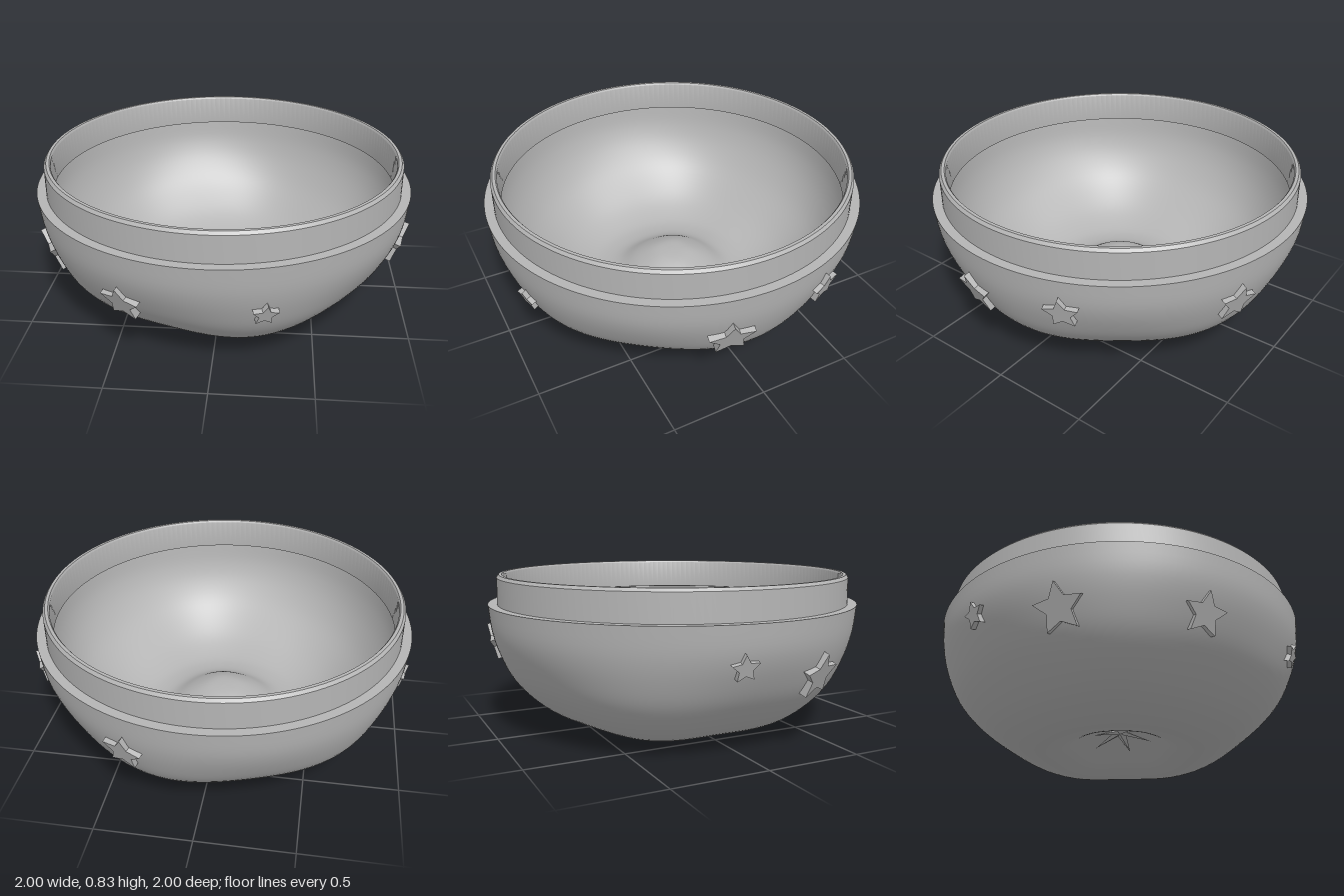
import * as THREE from 'three';
import { toCreasedNormals } from 'three/addons/utils/BufferGeometryUtils.js';

const DEG = Math.PI / 180;
const clayGrey = new THREE.MeshStandardMaterial({ color: 0xb4b4b4 });
clayGrey.name = 'clayGrey';

const toPoints = list => list.map(([r, y]) => new THREE.Vector2(r, y));
const smooth = (list, n) => new THREE.SplineCurve(toPoints(list)).getPoints(n);

// Profiles as [radius, height]
const outer = [[0, 0.15], [0.08, 0.14], [0.18, 0.09], [0.3, 0.025], [0.42, 0], [0.53, 0.015], [0.67, 0.075],
  [0.79, 0.165], [0.885, 0.275], [0.945, 0.4], [0.983, 0.53], [1, 0.675]];
const neck = [[0.952, 0.675], [0.95, 0.815], [0.938, 0.83], [0.922, 0.83], [0.915, 0.82], [0.915, 0.66]];
const inner = [[0.95, 0.655], [0.933, 0.53], [0.895, 0.41], [0.83, 0.295], [0.74, 0.2], [0.63, 0.12],
  [0.51, 0.07], [0.42, 0.06], [0.32, 0.08], [0.21, 0.15], [0.1, 0.2], [0, 0.21]];

// Five faint lobes that fade out towards the rim
function lobe(r, y, az) {
  const valley = 0.5 - 0.5 * Math.cos(5 * (az - 18 * DEG));
  const fade = valley * (1 - THREE.MathUtils.smoothstep(y, 0.1, 0.6));
  const lift = THREE.MathUtils.smoothstep(r, 0.1, 0.4);
  return [r * (1 - 0.045 * fade), y + 0.01 * fade * lift];
}

// Hollow bowl with stepped neck
function makeBowl() {
  const profile = [...smooth(outer, 48), ...toPoints(neck), ...smooth(inner, 48)];
  profile.forEach(p => { p.x = Math.max(p.x, 0); });
  const geo = new THREE.LatheGeometry(profile, 180);
  const pos = geo.attributes.position;
  for (let i = 0; i < pos.count; i++) {
    const x = pos.getX(i), z = pos.getZ(i), az = Math.atan2(x, z);
    const [r, y] = lobe(Math.hypot(x, z), pos.getY(i), az);
    pos.setXYZ(i, r * Math.sin(az), y, r * Math.cos(az));
  }
  return toCreasedNormals(geo, 35 * DEG);
}

// Outer wall radius at a height
function wallRadius(y) {
  const i = outer.findIndex((p, k) => k > 4 && p[1] >= y);
  const [r0, y0] = outer[i - 1], [r1, y1] = outer[i];
  return r0 + (r1 - r0) * (y - y0) / (y1 - y0);
}

function makeStar(radius) {
  const shape = new THREE.Shape();
  for (let k = 0; k < 10; k++) {
    const r = k % 2 ? radius * 0.5 : radius, a = k * 36 * DEG;
    shape[k ? 'lineTo' : 'moveTo'](-r * Math.sin(a), r * Math.cos(a));
  }
  shape.closePath();
  const geo = new THREE.ExtrudeGeometry(shape, { depth: 0.06, bevelEnabled: false });
  return geo.translate(0, 0, -0.035);
}

export function createModel() {
  const model = new THREE.Group();
  const add = (geo, name) => {
    const mesh = new THREE.Mesh(geo, clayGrey);
    mesh.name = name;
    model.add(mesh);
    return mesh;
  };

  add(makeBowl(), 'bowl');

  // Raised stars: azimuth, height, radius, roll
  const stars = [[15.5, 0.415, 0.065, -5], [79.5, 0.41, 0.12, 3], [111, 0.5, 0.09, 6], [160, 0.46, 0.105, -8],
    [263, 0.48, 0.07, 5], [292, 0.385, 0.125, 5], [333.5, 0.385, 0.11, -3]];
  for (const [deg, y, size, roll] of stars) {
    const az = deg * DEG;
    const [r] = lobe(wallRadius(y), y, az);
    const star = add(makeStar(size), 'star');
    star.position.set(r * Math.sin(az), y, r * Math.cos(az));
    const tilt = Math.atan2(wallRadius(y + 0.06) - wallRadius(y - 0.06), 0.12);
    star.rotation.set(tilt, az, roll * DEG, 'YXZ');
  }

  // Five pointed sepals in the hollow underneath
  for (let k = 0; k < 5; k++) {
    const geo = new THREE.ConeGeometry(0.03, 0.18, 4).translate(0, 0.09, 0);
    geo.rotateX(Math.PI / 2).scale(1, 0.5, 1);
    const sepal = add(toCreasedNormals(geo, 0.3), 'sepal');
    sepal.position.y = 0.138;
    sepal.rotation.set(19 * DEG, (325 + 72 * k) * DEG, 0, 'YXZ');
  }
  return model;
}
